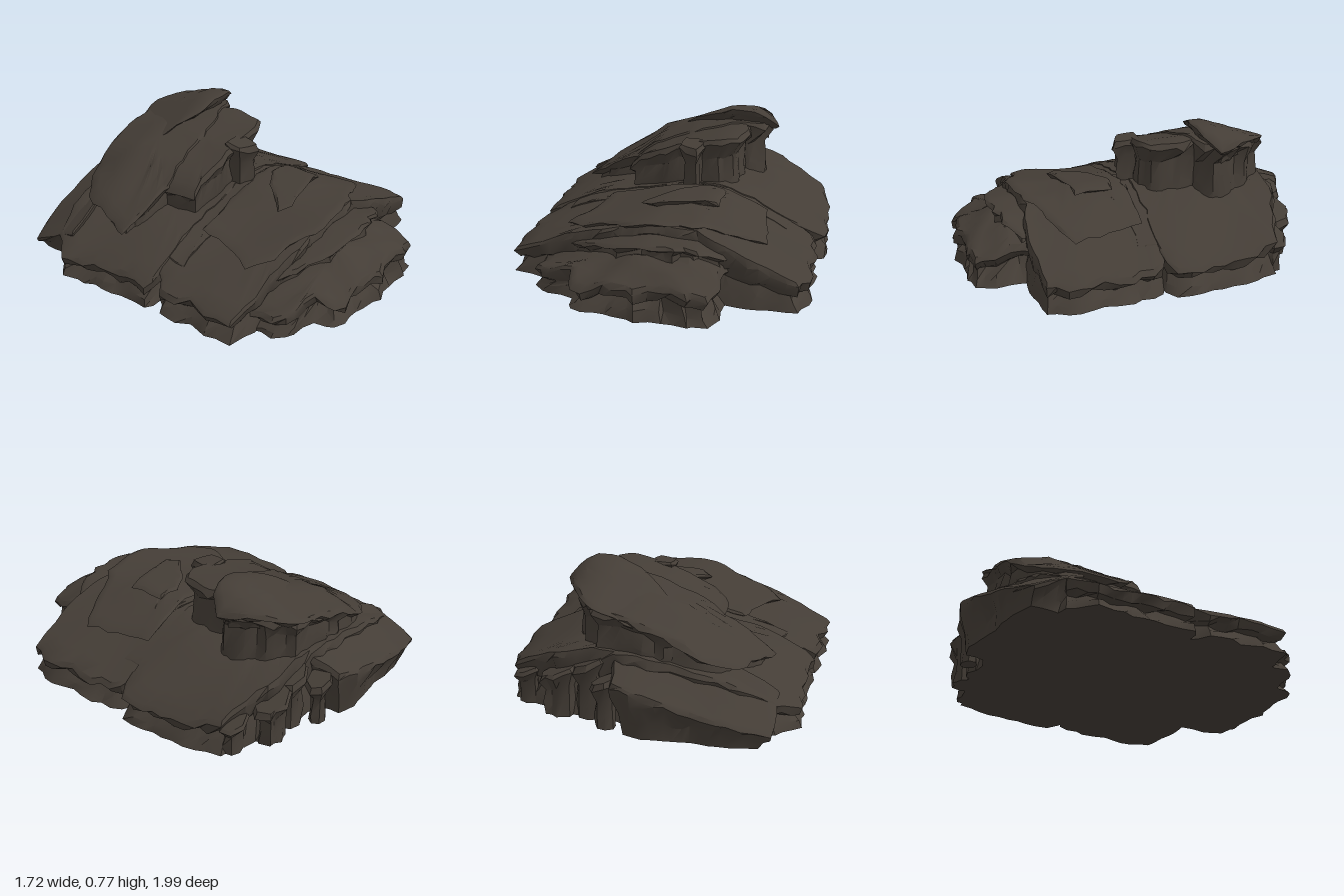
import * as THREE from 'three';
import { toCreasedNormals } from 'three/addons/utils/BufferGeometryUtils.js';

const stone = new THREE.MeshStandardMaterial({ color: 0x443d36 });
stone.name = 'dark stone';

// Seeded random numbers in -1..1
function seeded(seed) {
  let s = seed * 7919 + 17;
  return () => {
    s = (s * 16807) % 2147483647;
    return (s / 2147483647) * 2 - 1;
  };
}

// Piecewise linear height along x
function ramp(points) {
  return (x) => {
    if (x <= points[0][0]) return points[0][1];
    for (let i = 1; i < points.length; i++) {
      const [x0, y0] = points[i - 1], [x1, y1] = points[i];
      if (x <= x1) return y0 + ((y1 - y0) * (x - x0)) / (x1 - x0);
    }
    return points[points.length - 1][1];
  };
}

// Broad ripples shared by all the strata
const ripple = (x, z) => 0.008 * Math.sin(7 * x + 4 * z) + 0.006 * Math.sin(11 * z - 5 * x);

// Tent-shaped slope of the main strata, and the steeper slope of the crag
const tent = ramp([[-0.86, 0.15], [-0.5, 0.31], [0, 0.42], [0.25, 0.43], [0.45, 0.36], [0.86, 0.16]]);
const crag = ramp([[-0.68, 0.27], [-0.42, 0.43], [-0.33, 0.47], [-0.25, 0.55], [0, 0.65], [0.25, 0.69], [0.5, 0.66]]);
const roof = (drop) => (x, z) => tent(x) - drop + ripple(x, z);

const LEDGE = [[0, 0], [0.3, 0.02], [0.5, 0.06], [0.62, 0.015], [0.9, 0], [1, 0.02]];
const CLIFF = [[0, 0.03], [0.3, 0.025], [0.65, 0.035], [0.9, 0], [1, 0.02]];
const LEAN = [[0, 0.07], [0.4, 0.05], [0.75, 0.01], [0.95, 0], [1, 0.015]];

// Stone slab: chipped outline [x, z] raised through side rings, closed by a shaped top
function slab(name, outline, top, bottom, profile, seed, rough = 0.014) {
  const rnd = seeded(seed);
  const area = outline.reduce((a, p, i) => {
    const q = outline[(i + 1) % outline.length];
    return a + p[0] * q[1] - q[0] * p[1];
  }, 0);
  const corners = area > 0 ? [...outline].reverse() : outline;
  const edge = [];
  corners.forEach((p, i) => {
    const q = corners[(i + 1) % corners.length];
    const n = Math.max(1, Math.round(Math.hypot(q[0] - p[0], q[1] - p[1]) / 0.065));
    for (let k = 0; k < n; k++) {
      const j = k ? rough : 0;
      edge.push([p[0] + ((q[0] - p[0]) * k) / n + rnd() * j, p[1] + ((q[1] - p[1]) * k) / n + rnd() * j]);
    }
  });
  const n = edge.length;
  const cx = edge.reduce((a, p) => a + p[0], 0) / n;
  const cz = edge.reduce((a, p) => a + p[1], 0) / n;
  const pos = [], index = [];
  const groove = edge.map(() => Math.max(0, rnd()) * rough * 2.5);

  // Side rings, with vertical grooves cut between foot and lip
  profile.forEach(([t, inset]) => {
    edge.forEach(([x, z], j) => {
      const d = Math.hypot(x - cx, z - cz);
      const cut = t > 0 && t < 0.9 ? groove[j] + rnd() * rough * 0.8 : 0;
      const k = 1 - Math.min(0.5, (inset + cut) / d);
      const px = cx + (x - cx) * k, pz = cz + (z - cz) * k;
      const lo = bottom(px, pz), hi = Math.max(lo + 0.02, top(px, pz));
      const chip = t > 0 && t < 1 ? rnd() * 0.08 : 0;
      const fall = t === 1 ? 0 : (1 - t) * 0.01;
      pos.push(px, Math.max(lo, lo + (hi - lo) * Math.min(0.97, t + chip) - fall * (t > 0 ? 1 : 0)), pz);
      if (t === 1) pos[pos.length - 2] = hi;
    });
  });
  // Top rings drawn in towards the middle
  for (const s of [0.86, 0.65, 0.42, 0.2]) {
    edge.forEach(([x, z]) => {
      const px = cx + (x - cx) * s, pz = cz + (z - cz) * s;
      pos.push(px, Math.max(bottom(px, pz) + 0.02, top(px, pz)), pz);
    });
  }
  const rings = profile.length + 4;
  pos.push(cx, top(cx, cz), cz, cx, bottom(cx, cz), cz);
  for (let j = 0; j < n; j++) {
    const j1 = (j + 1) % n;
    for (let r = 0; r < rings - 1; r++) {
      const a = r * n + j, b = r * n + j1;
      index.push(a, b, b + n, a, b + n, a + n);
    }
    index.push(rings * n, (rings - 1) * n + j, (rings - 1) * n + j1, rings * n + 1, j1, j);
  }
  const geo = new THREE.BufferGeometry();
  geo.setAttribute('position', new THREE.Float32BufferAttribute(pos, 3));
  geo.setIndex(index);
  const mesh = new THREE.Mesh(toCreasedNormals(geo, 0.6), stone);
  mesh.name = name;
  return mesh;
}

export function createModel() {
  const model = new THREE.Group();
  model.name = 'layeredRock';
  const ground = () => 0;
  const add = (...args) => model.add(slab(...args));

  // Broad lower strata, front and back, parted by a notch
  add('frontStratum', [[-0.7, -0.02], [-0.82, 0.08], [-0.84, 0.2], [-0.8, 0.28], [-0.84, 0.4], [-0.83, 0.56],
    [-0.66, 0.6], [-0.35, 0.62], [-0.1, 0.66], [0.26, 0.64], [0.42, 0.68], [0.6, 0.69], [0.81, 0.67], [0.86, 0.5],
    [0.82, 0.36], [0.84, 0.2], [0.78, 0.02], [0.7, -0.02]], roof(0.025), ground, LEDGE, 3);
  add('backStratum', [[-0.72, 0.01], [-0.83, -0.02], [-0.82, -0.2], [-0.84, -0.5], [-0.86, -0.6], [-0.74, -0.72],
    [-0.5, -0.78], [0, -0.81], [0.4, -0.78], [0.6, -0.71], [0.74, -0.66], [0.81, -0.45], [0.82, -0.25], [0.84, -0.04],
    [0.7, 0.01]], roof(0.015), ground, LEDGE, 4);
  add('notchFill', [[-0.66, -0.12], [-0.66, 0.12], [0.66, 0.12], [0.66, -0.12]], roof(0.02), ground, CLIFF, 5);

  // Stepped front ledges
  add('frontFoot', [[-0.66, 0.5], [-0.65, 0.7], [-0.55, 0.78], [-0.4, 0.81], [-0.37, 0.92], [-0.18, 0.94], [0, 0.995],
    [0.2, 0.965], [0.39, 0.955], [0.43, 0.85], [0.42, 0.5]],
  (x, z) => tent(x) - 0.14 - Math.max(0, z - 0.76) * 0.42 + ripple(x * 3, z * 3), ground, LEDGE, 6, 0.022);
  add('frontStep', [[-0.56, 0.45], [-0.48, 0.6], [-0.3, 0.7], [-0.1, 0.79], [0.05, 0.81], [0.3, 0.78], [0.42, 0.7], [0.42, 0.45]],
    roof(0.075), (x) => tent(x) - 0.19, CLIFF, 7, 0.018);
  add('frontPlate', [[-0.54, 0.45], [-0.44, 0.25], [-0.4, 0.06], [0.52, 0.05], [0.6, 0.45], [0.45, 0.53], [0.28, 0.59],
    [0.23, 0.64], [-0.1, 0.67], [-0.25, 0.59], [-0.42, 0.56]], roof(0), (x) => tent(x) - 0.08, CLIFF, 8, 0.01);
  add('ledgeChip', [[-0.13, 0.38], [0.05, 0.2], [0.18, 0.13], [0.3, 0.15], [0.31, 0.37], [0.1, 0.4], [-0.06, 0.43]],
    (x) => tent(x) + 0.035 + 0.015 * x, (x) => tent(x) - 0.05, CLIFF, 9, 0.008);

  // Rear shelf leaning outwards, with broken stones beside it
  add('rearShelf', [[-0.74, -0.62], [-0.75, -0.9], [-0.6, -0.95], [-0.4, -0.98], [-0.02, -0.995], [0.1, -0.95],
    [0.13, -0.8], [0.12, -0.62]], (x, z) => tent(x) - 0.06 + (z + 0.8) * 0.45 + ripple(x, z), ground, LEAN, 10, 0.01);
  const boulders = [[0.15, -0.86, 0.075, 0.28], [0.27, -0.76, 0.09, 0.33], [0.44, -0.76, 0.105, 0.26], [0.65, -0.67, 0.08, 0.2]];
  boulders.forEach(([x, z, r, h], i) => {
    const ring = Array.from({ length: 7 }, (_, k) => {
      const a = (k / 7) * Math.PI * 2 + i;
      return [x + Math.cos(a) * r * 1.15, z + Math.sin(a) * r];
    });
    add('rearBoulder' + (i + 1), ring, (px) => h - (px - x) * 0.4, ground, CLIFF, 20 + i);
  });

  // Upper crag: sloping shoulder, blocky front and overhanging cap
  const under = (x) => tent(x) - 0.06;
  add('cragShoulder', [[-0.66, -0.31], [-0.6, -0.47], [-0.52, -0.68], [-0.4, -0.76], [-0.15, -0.79], [0.25, -0.77],
    [0.36, -0.64], [0.45, -0.45], [0.42, -0.35], [0.2, -0.26], [-0.3, -0.22], [-0.5, -0.26]],
  (x, z) => crag(x) - Math.max(0, -z - 0.55) * 0.25 + ripple(x, z), under, CLIFF, 11, 0.012);
  add('cragFront', [[-0.33, -0.05], [-0.34, -0.3], [-0.2, -0.45], [0.3, -0.45], [0.36, -0.25], [0.33, -0.06],
    [0.28, -0.03], [-0.1, -0.02]], (x, z) => crag(x) - 0.01 + ripple(x, z), under, CLIFF, 12, 0.02);
  add('cragPillar', [[0, -0.08], [-0.01, 0.03], [0.04, 0.06], [0.11, 0.085], [0.13, 0.02], [0.14, -0.08]],
    (x, z) => 0.65 - z * 0.1, under, CLIFF, 13, 0.006);
  const capTop = ramp([[-0.2, 0.59], [0, 0.685], [0.22, 0.77], [0.35, 0.775], [0.42, 0.74], [0.49, 0.67]]);
  const capHeight = (x, z) => capTop(x) - Math.max(0, -z - 0.4) * 0.36;
  add('cragCap', [[-0.2, -0.56], [-0.15, -0.7], [0, -0.775], [0.24, -0.775], [0.33, -0.7], [0.42, -0.57], [0.49, -0.42],
    [0.42, -0.34], [0.28, -0.31], [0.1, -0.34], [-0.08, -0.46]],
  capHeight, (x, z) => capHeight(x, z) - 0.05 - 0.2 * Math.max(0, x + 0.1), LEAN, 14, 0.008);
  return model;
}
